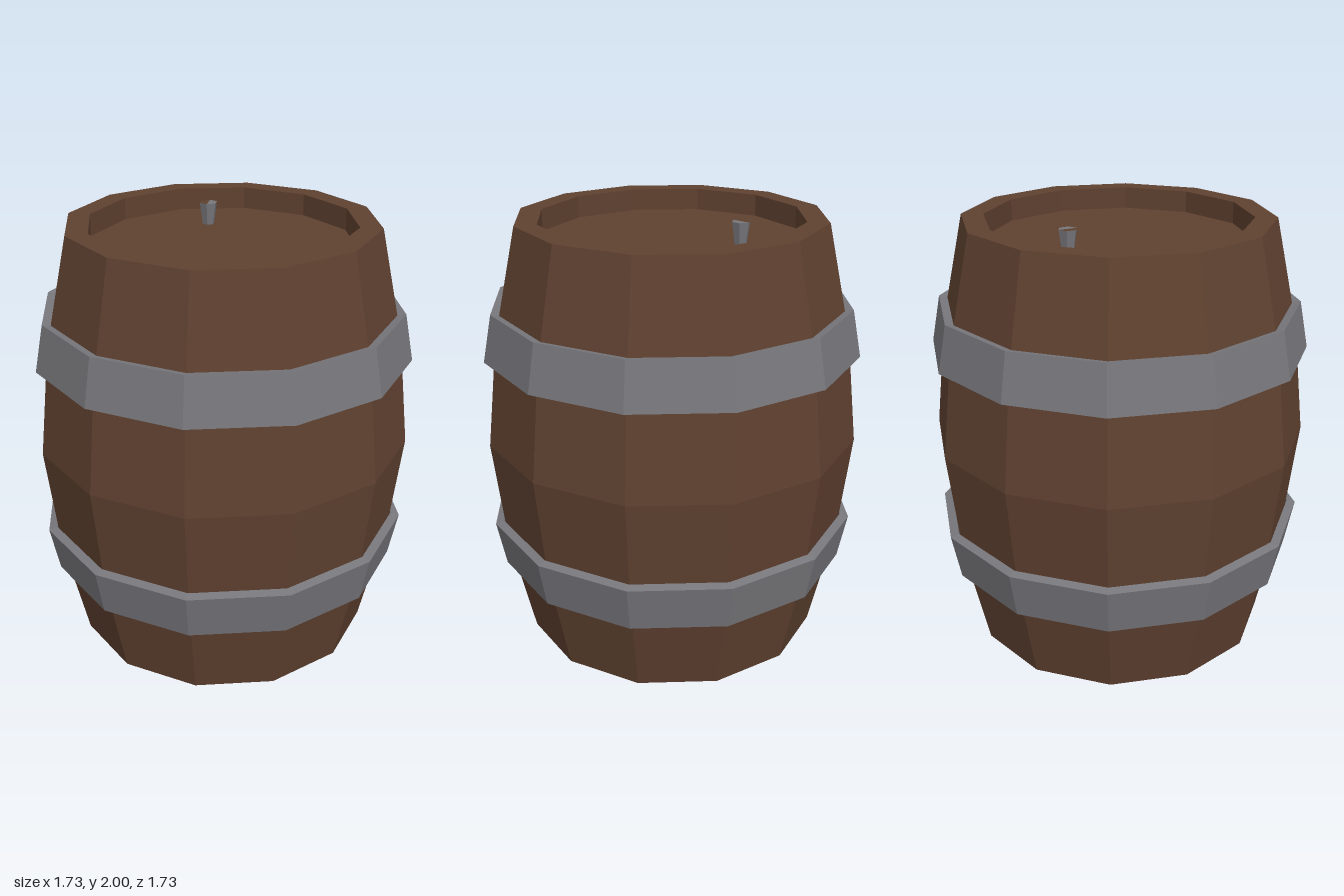
import * as THREE from 'three';

const SIDES = 12;
const wood = new THREE.MeshStandardMaterial({ color: 0x5f4130, flatShading: true });
const iron = new THREE.MeshStandardMaterial({ color: 0x77777c, flatShading: true });

// Faceted solid of revolution; profile runs counter-clockwise as [radius, y]
function turned(name, profile, material) {
  const points = profile.map(([r, y]) => new THREE.Vector2(r, y));
  const mesh = new THREE.Mesh(new THREE.LatheGeometry(points, SIDES), material);
  mesh.name = name;
  return mesh;
}

export function createModel() {
  const barrel = new THREE.Group();
  barrel.name = 'barrel';

  // Wooden body with a recessed head at both ends
  const lower = [[0, 0.1], [0.6, 0.1], [0.6, 0], [0.7, 0], [0.81, 0.5]];
  const upper = lower.map(([r, y]) => [r, 2 - y]).reverse();
  barrel.add(turned('body', [...lower, [0.866, 1], ...upper], wood));

  // Iron hoops, mirrored about the middle and leaning with the staves
  const hoop = [[0.826, 1.395], [0.866, 1.405], [0.824, 1.62], [0.783, 1.612], [0.805, 1.5], [0.826, 1.395]];
  barrel.add(turned('upperHoop', hoop, iron));
  barrel.add(turned('lowerHoop', hoop.map(([r, y]) => [r, 2 - y]).reverse(), iron));

  // Tapered six-sided bung standing on the top head
  const bung = new THREE.Group();
  bung.name = 'bung';
  bung.position.set(-0.12, 1.9, -0.3);
  const shaft = new THREE.Mesh(new THREE.CylinderGeometry(0.042, 0.028, 0.1, 6, 1, true), iron);
  shaft.name = 'bungShaft';
  shaft.position.y = 0.05;
  bung.add(shaft);

  // Bung top: one iron half and one wooden half
  [['bungIronCap', -Math.PI / 2, iron], ['bungWoodCap', Math.PI / 2, wood]].forEach(([name, start, material]) => {
    const cap = new THREE.Mesh(new THREE.CircleGeometry(0.042, 3, start, Math.PI), material);
    cap.name = name;
    cap.rotation.x = -Math.PI / 2;
    cap.position.y = 0.1;
    bung.add(cap);
  });
  barrel.add(bung);

  return barrel;
}
